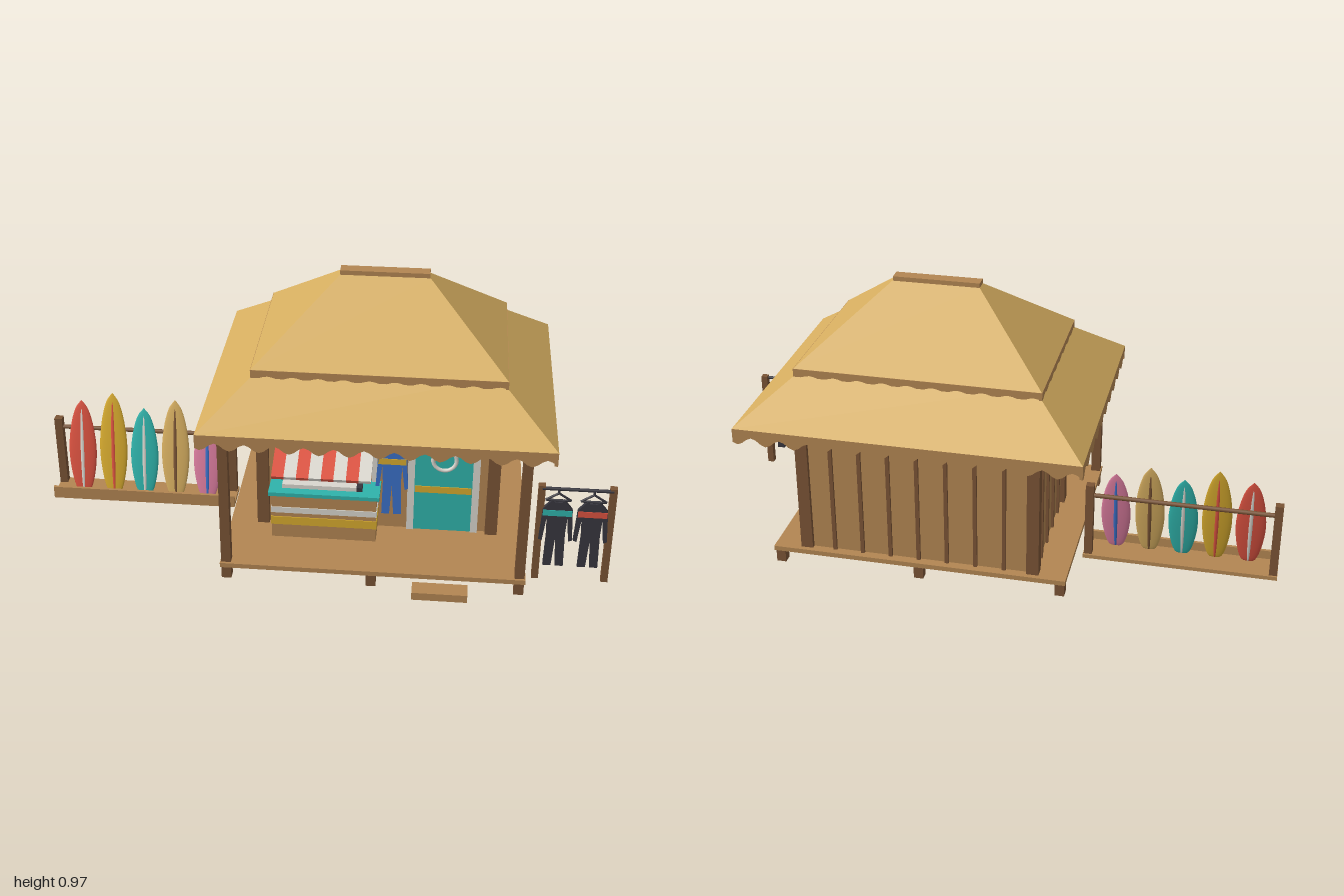
import * as THREE from 'three';

const paint = (name, color) => Object.assign(new THREE.MeshStandardMaterial({ color }), { name });
const thatch = paint('thatch', 0xd6ae60), wood = paint('wood', 0xb38652), darkWood = paint('dark wood', 0x7a5435),
  white = paint('white', 0xd9d6ce), red = paint('red', 0xdb5240), yellow = paint('yellow', 0xd6aa2e),
  teal = paint('teal', 0x2fb3ab), blue = paint('blue', 0x3a70c8), black = paint('black', 0x37363e),
  pink = paint('pink', 0xda7c9e);

export function createModel() {
  const model = new THREE.Group();
  model.name = 'surfShack';

  const add = (name, geo, mat, parent = model) => {
    const m = new THREE.Mesh(geo, mat);
    m.name = name;
    parent.add(m);
    return m;
  };
  // box given by its limits on each axis
  const box = (name, mat, x0, x1, y0, y1, z0, z1, parent) => {
    const m = add(name, new THREE.BoxGeometry(x1 - x0, y1 - y0, z1 - z0), mat, parent);
    m.position.set((x0 + x1) / 2, (y0 + y1) / 2, (z0 + z1) / 2);
    return m;
  };
  // square post centred on x, z
  const post = (name, mat, x, z, y0, y1, w) => box(name, mat, x - w / 2, x + w / 2, y0, y1, z - w / 2, z + w / 2);
  // round rod between two points
  const rod = (name, mat, a, b, r, parent) => {
    const p = new THREE.Vector3(...a), q = new THREE.Vector3(...b);
    const m = add(name, new THREE.CylinderGeometry(r, r, p.distanceTo(q), 8), mat, parent);
    m.position.copy(p).lerp(q, 0.5);
    m.quaternion.setFromUnitVectors(new THREE.Vector3(0, 1, 0), q.sub(p).normalize());
  };

  // deck, feet and step
  box('deck', wood, -0.31, 0.715, 0.048, 0.065, -0.38, 0.425);
  for (const x of [-0.29, 0.2, 0.695]) for (const z of [-0.355, 0.4]) post('deckFoot', darkWood, x, z, 0, 0.048, 0.033);
  box('step', wood, 0.34, 0.525, 0.005, 0.033, 0.424, 0.485);

  // walls with corner posts and battens
  box('walls', wood, -0.2, 0.605, 0.065, 0.57, -0.348, 0.148);
  for (const x of [-0.195, 0.6]) for (const z of [-0.342, 0.147]) post('cornerPost', darkWood, x, z, 0.065, 0.57, 0.042);
  for (const x of [-0.29, 0.695]) post('porchPost', darkWood, x, 0.4, 0.065, 0.57, 0.033);
  for (const z of [0.053, -0.047, -0.15, -0.25])
    for (const x of [-0.203, 0.608]) post('sideBatten', darkWood, x, z, 0.065, 0.57, 0.013);
  for (let i = 1; i < 8; i++) post('backBatten', darkWood, -0.195 + i * 0.0994, -0.351, 0.065, 0.57, 0.013);

  // hipped roof tiers, each a four-sided frustum
  const roof = new THREE.Group();
  roof.name = 'roof';
  roof.position.set(0.205, 0, -0.023);
  model.add(roof);
  const tier = (name, y0, hx0, hz0, y1, hx1, hz1) => {
    const geo = new THREE.BoxGeometry(2, 1, 2), p = geo.attributes.position;
    for (let i = 0; i < p.count; i++) {
      const top = p.getY(i) > 0;
      p.setXYZ(i, p.getX(i) * (top ? hx1 : hx0), top ? y1 : y0, p.getZ(i) * (top ? hz1 : hz0));
    }
    geo.computeVertexNormals();
    add(name, geo, thatch, roof);
  };
  tier('lowerRoof', 0.57, 0.58, 0.4615, 0.727, 0.384, 0.265);
  tier('upperRoof', 0.727, 0.4175, 0.299, 0.955, 0.148, 0.02);
  box('ridgeCap', wood, -0.15, 0.148, 0.945, 0.969, -0.022, 0.022, roof);

  // scalloped trim hanging below each eave
  const trim = (name, y, hx, hz, drop, wave, nx, nz) => {
    for (let side = 0; side < 4; side++) {
      const half = side % 2 ? hz : hx, out = side % 2 ? hx : hz, n = side % 2 ? nz : nx;
      const s = new THREE.Shape();
      s.moveTo(half, y);
      s.lineTo(-half, y);
      for (let i = 0; i <= n * 6; i++)
        s.lineTo(-half + (2 * half * i) / (n * 6), y - drop + wave * (1 - Math.sin((Math.PI * 2 * i) / 6 + 0.5)) / 2);
      const geo = new THREE.ExtrudeGeometry(s, { depth: 0.01, bevelEnabled: false });
      geo.translate(0, 0, out - 0.01);
      add(name, geo.rotateY((side * Math.PI) / 2), wood, roof);
    }
  };
  trim('eaveTrim', 0.57, 0.58, 0.4615, 0.055, 0.027, 12, 10);
  trim('upperTrim', 0.728, 0.4175, 0.299, 0.03, 0.009, 10, 8);

  // counter with painted bands
  box('counter', wood, -0.155, 0.205, 0.065, 0.236, 0.148, 0.247);
  box('counterWhiteBand', white, -0.157, 0.207, 0.165, 0.187, 0.148, 0.25);
  box('counterYellowBand', yellow, -0.157, 0.207, 0.117, 0.148, 0.148, 0.25);
  box('counterTop', teal, -0.165, 0.215, 0.236, 0.25, 0.148, 0.258);
  box('counterTray', white, -0.12, 0.135, 0.25, 0.265, 0.19, 0.225);
  box('counterTrayEnd', black, 0.135, 0.155, 0.25, 0.265, 0.19, 0.225);

  // serving window frame
  for (const x of [-0.137, 0.192]) box('windowSide', white, x - 0.009, x + 0.009, 0.25, 0.472, 0.148, 0.158);
  box('windowTop', white, -0.146, 0.201, 0.457, 0.472, 0.148, 0.158);

  // striped awning sloping down to the front
  const awning = new THREE.Group();
  awning.name = 'awning';
  awning.position.set(0.0275, 0.417, 0.267);
  awning.rotation.x = 0.345;
  model.add(awning);
  for (let i = 0; i < 8; i++) {
    const x = -0.165 + i * 0.04125;
    box('awningStripe', i % 2 ? white : red, x, x + 0.04125, -0.006, 0.006, -0.108, 0.108, awning);
  }

  // door
  for (const x of [0.318, 0.54]) box('doorSide', white, x - 0.012, x + 0.012, 0.065, 0.472, 0.148, 0.16);
  box('doorHeader', white, 0.306, 0.552, 0.445, 0.472, 0.148, 0.16);
  box('door', teal, 0.33, 0.528, 0.067, 0.445, 0.148, 0.157);
  box('doorBand', yellow, 0.332, 0.526, 0.22, 0.245, 0.156, 0.16);
  add('doorRing', new THREE.TorusGeometry(0.04, 0.007, 8, 28), white).position.set(0.43, 0.352, 0.158);

  // hanging wetsuit with chest band and hanger
  const half = [[0.007, 0], [0.034, 0], [0.031, 0.13], [0.034, 0.19], [0.044, 0.1], [0.056, 0.105], [0.049, 0.225], [0.02, 0.26], [0.012, 0.252]];
  const suitShape = new THREE.Shape([[0, 0.115], ...half, ...half.slice().reverse().map(([x, y]) => [-x, y])]
    .map(([x, y]) => new THREE.Vector2(x, y)));
  const suitGeo = new THREE.ExtrudeGeometry(suitShape, { depth: 0.012, bevelEnabled: false });
  suitGeo.translate(0, 0, -0.006);
  const wetsuit = (x, y, z, mat, bandMat) => {
    const g = new THREE.Group();
    g.name = 'wetsuit';
    g.position.set(x, y, z);
    model.add(g);
    add('suit', suitGeo, mat, g);
    box('chestBand', bandMat, -0.048, 0.048, 0.2, 0.222, -0.008, 0.008, g);
    const tip = [0, 0.285, 0], l = [-0.042, 0.258, 0], r = [0.042, 0.258, 0];
    for (const [a, b] of [[tip, l], [tip, r], [l, r], [tip, [0, 0.302, 0]]]) rod('hanger', black, a, b, 0.004, g);
  };
  wetsuit(0.253, 0.14, 0.176, blue, yellow);
  rod('hangerPeg', darkWood, [0.253, 0.438, 0.145], [0.253, 0.438, 0.182], 0.006);

  // wetsuit rack
  for (const x of [0.752, 0.985]) post('rackPost', darkWood, x, 0.305, 0, 0.37, 0.023);
  rod('rackBar', black, [0.752, 0.36, 0.312], [0.985, 0.36, 0.312], 0.006);
  wetsuit(0.808, 0.06, 0.315, black, teal);
  wetsuit(0.923, 0.06, 0.315, black, red);

  // surfboard stand
  box('standBase', wood, -1, -0.328, 0.004, 0.018, -0.128, -0.008);
  box('standLip', wood, -1, -0.328, 0.004, 0.05, -0.019, -0.008);
  for (const x of [-0.985, -0.345]) post('standPost', darkWood, x, -0.107, 0.018, 0.29, 0.028);
  rod('standRail', darkWood, [-0.985, 0.25, -0.11], [-0.345, 0.25, -0.11], 0.008);

  // leaning surfboards, flattened lathes with a stripe down the middle
  const curve = new THREE.SplineCurve([[0, 0], [0.024, 0.02], [0.042, 0.2], [0.05, 0.45], [0.042, 0.7], [0.024, 0.9], [0, 1]]
    .map(([r, y]) => new THREE.Vector2(r, y)));
  const profile = curve.getPoints(24).map((p) => new THREE.Vector2(Math.max(p.x, 0), p.y));
  const boardGeo = new THREE.LatheGeometry(profile, 24);
  [[-0.895, 0.355, red, white], [-0.78, 0.388, yellow, red], [-0.665, 0.335, teal, white],
    [-0.55, 0.372, thatch, darkWood], [-0.432, 0.328, pink, blue]].forEach(([x, h, mat, stripe]) => {
    const g = new THREE.Group();
    g.name = 'surfboard';
    g.position.set(x, 0.018, -0.042);
    g.rotation.x = -0.19;
    model.add(g);
    add('board', boardGeo, mat, g).scale.set(1.02, h, 0.2);
    add('boardStripe', boardGeo, stripe, g).scale.set(0.24, h * 0.98, 0.235);
  });

  return model;
}
